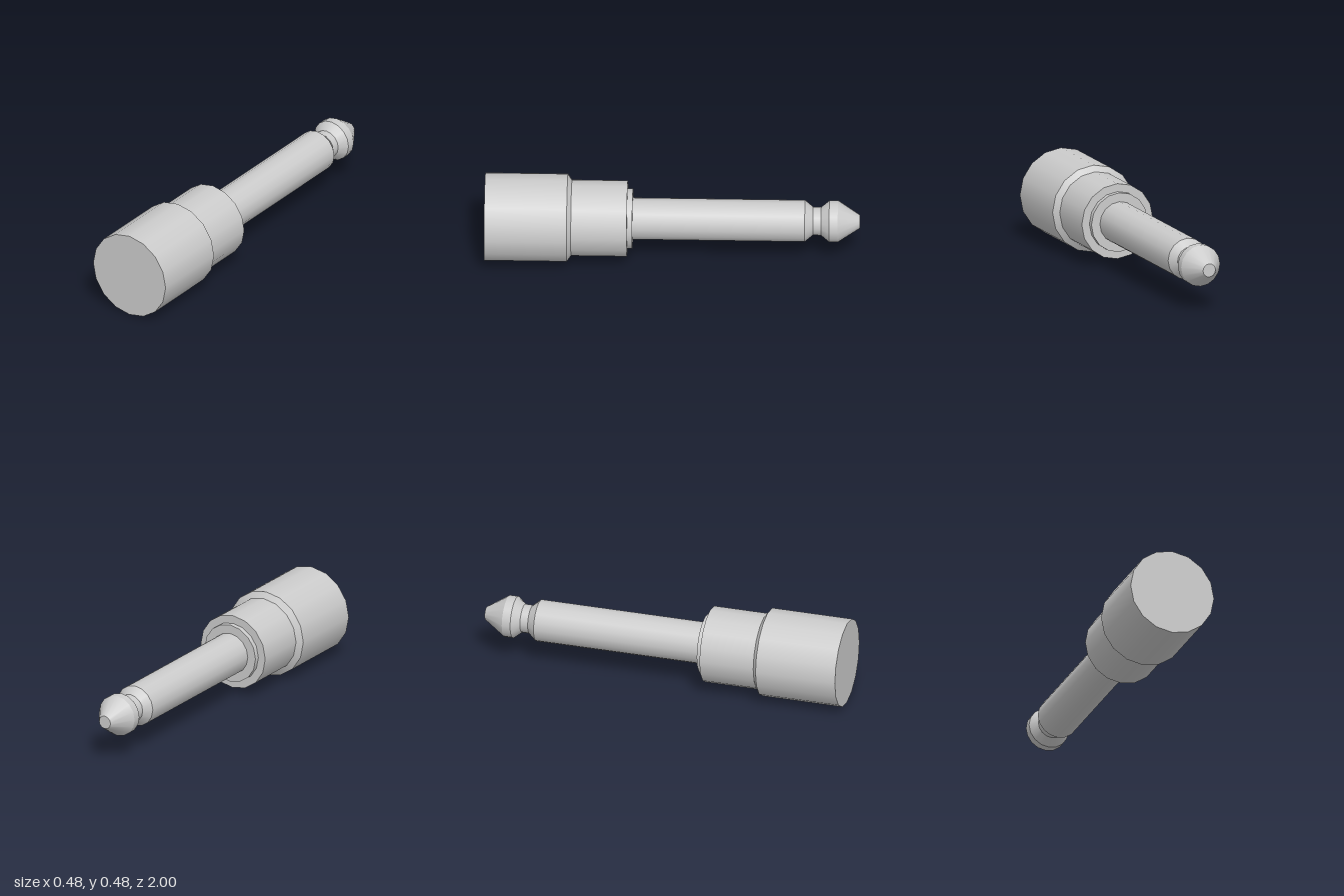
import * as THREE from 'three';
import { mergeGeometries } from 'three/addons/utils/BufferGeometryUtils.js';

const SIDES = 16;
const AXIS_HEIGHT = 0.238;
const material = new THREE.MeshStandardMaterial({ color: 0xcccccc });

// Turned part along z: smooth around, sharp between bands.
// The profile is [radius, z] from front to back.
function turned(name, profile) {
  const bands = [];
  for (let i = 0; i < profile.length - 1; i++) {
    const points = [profile[i], profile[i + 1]].map(([r, z]) => new THREE.Vector2(r, -z));
    bands.push(new THREE.LatheGeometry(points, SIDES));
  }
  const geometry = mergeGeometries(bands);
  geometry.rotateX(-Math.PI / 2);
  const mesh = new THREE.Mesh(geometry, material);
  mesh.name = name;
  return mesh;
}

export function createModel() {
  const plug = new THREE.Group();
  plug.name = 'audioPlug';

  // Wide grip with a flat front end and a chamfered shoulder
  plug.add(turned('grip', [[0, 1], [0.238, 1], [0.238, 0.56], [0.206, 0.538]]));

  // Narrower collar, closed at the back
  plug.add(turned('collar', [[0.206, 0.538], [0.206, 0.24], [0.162, 0.24]]));

  // Thin washer where the shaft enters
  plug.add(turned('washer', [[0.162, 0.24], [0.162, 0.212], [0.113, 0.212]]));

  // Long sleeve with a bevelled end
  plug.add(turned('sleeve', [[0.113, 0.212], [0.113, -0.707], [0.077, -0.75]]));

  // Groove behind the tip
  plug.add(turned('neck', [[0.077, -0.75], [0.077, -0.793]]));

  // Flared tip with a blunt cone
  plug.add(turned('tip', [[0.077, -0.793], [0.113, -0.837], [0.113, -0.883], [0.036, -1], [0, -1]]));

  plug.position.y = AXIS_HEIGHT;
  const model = new THREE.Group();
  model.add(plug);
  return model;
}
